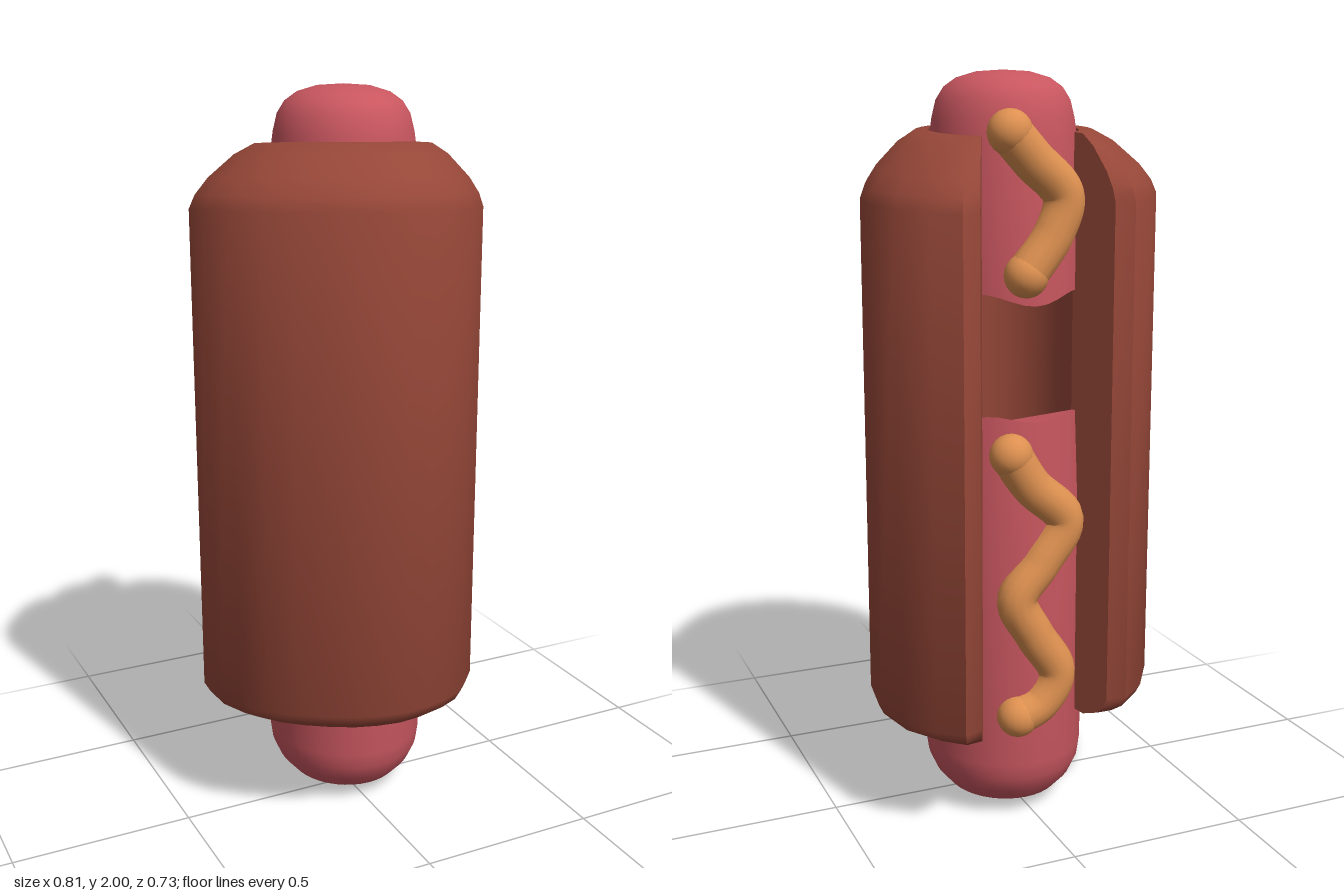
import * as THREE from 'three';
import { toCreasedNormals } from 'three/addons/utils/BufferGeometryUtils.js';

const material = (name, color) => {
  const m = new THREE.MeshStandardMaterial({ color });
  m.name = name;
  return m;
};

const CX = 0.016, CZ = -0.052; // sausage axis

// Bun: a C-shaped shell swept from one lip round the front to the other
function bunGeometry() {
  const outline = [
    [-0.175, -0.325], [-0.225, -0.34], [-0.3, -0.285], [-0.365, -0.19], [-0.41, -0.08], [-0.41, 0.03],
    [-0.38, 0.12], [-0.33, 0.195], [-0.27, 0.25], [-0.2, 0.3], [-0.135, 0.335], [-0.07, 0.355],
    [0, 0.365], [0.07, 0.355], [0.135, 0.335], [0.2, 0.3], [0.25, 0.25], [0.305, 0.185],
    [0.35, 0.105], [0.39, 0], [0.405, -0.12], [0.375, -0.235], [0.315, -0.315], [0.25, -0.365], [0.2, -0.35],
  ];
  // share of the way from the inner wall to the outline, and height
  const profile = [
    [0, 1.855], [0.2, 1.853], [0.45, 1.825], [0.78, 1.765], [0.93, 1.725], [1, 1.69],
    [1, 0.36], [0.93, 0.332], [0.75, 0.308], [0.4, 0.29], [0.15, 0.295], [0, 0.31],
  ];
  const n = outline.length, m = profile.length;
  const positions = [], index = [];
  outline.forEach(([ox, oz], i) => {
    const a = THREE.MathUtils.degToRad(-137 + 277 * i / (n - 1));
    const ix = CX + 0.194 * Math.sin(a), iz = CZ + 0.21 * Math.cos(a);
    for (const [t, y] of profile) {
      const x = ix + (ox - ix) * t, z = iz + (oz - iz) * t;
      positions.push(x, y + 0.07 * z - 0.03 * x, z);
    }
  });
  for (let i = 0; i < n - 1; i++) {
    for (let j = 0; j < m; j++) {
      const k = (j + 1) % m;
      const a = i * m + j, b = a + m, c = i * m + k, d = c + m;
      index.push(a, c, b, b, c, d);
    }
  }
  // flat lips closing both ends of the sweep
  const last = (n - 1) * m;
  for (let j = 1; j < m - 1; j++) {
    index.push(0, j + 1, j, last, last + j, last + j + 1);
  }
  const g = new THREE.BufferGeometry();
  g.setAttribute('position', new THREE.Float32BufferAttribute(positions, 3));
  g.setIndex(index);
  return toCreasedNormals(g, 0.75);
}

// Sausage piece: a lathe whose cut end is sloped and slightly toothed
function sausageGeometry(points, cutY, slope) {
  const g = new THREE.LatheGeometry(points.map(([x, y]) => new THREE.Vector2(x, y)), 40);
  g.scale(1, 1, 1.08);
  const p = g.attributes.position;
  for (let i = 0; i < p.count; i++) {
    if (Math.abs(p.getY(i) - cutY) > 0.001) continue;
    const x = p.getX(i), z = p.getZ(i), r = Math.hypot(x, z);
    p.setY(i, cutY + slope * z + 0.06 * r * Math.cos(5 * Math.atan2(x, z)));
  }
  g.translate(CX, 0, CZ);
  g.deleteAttribute('uv');
  return toCreasedNormals(g, 0.75);
}

export function createModel() {
  const model = new THREE.Group();
  model.name = 'hotDog';
  const brown = material('bunBrown', 0x964738);
  const pink = material('sausagePink', 0xc8565f);
  const orange = material('mustardOrange', 0xdd9050);

  const add = (parent, name, geometry, mat) => {
    const mesh = new THREE.Mesh(geometry, mat);
    mesh.name = name;
    parent.add(mesh);
    return mesh;
  };

  add(model, 'bun', bunGeometry(), brown);

  // Sausage in two pieces with a bite missing between them
  const lower = [
    [0, 0], [0.06, 0.004], [0.11, 0.016], [0.155, 0.04], [0.19, 0.08], [0.21, 0.125], [0.216, 0.17],
    [0.216, 0.9], [0.206, 1.075], [0.15, 1.075], [0.08, 1.075], [0, 1.075],
  ];
  const upper = [
    [0, 1.45], [0.08, 1.45], [0.15, 1.45], [0.202, 1.45], [0.202, 1.6], [0.19, 1.83],
    [0.183, 1.88], [0.172, 1.925], [0.152, 1.957], [0.12, 1.98], [0.07, 1.995], [0, 2],
  ];
  add(model, 'lowerSausage', sausageGeometry(lower, 1.075, -0.25), pink);
  add(model, 'upperSausage', sausageGeometry(upper, 1.45, 0.1), pink);

  // Mustard zigzags with rounded ends
  const R = 0.054;
  const zigzags = {
    upperMustard: [[0.09, 1.845], [0.03, 1.78], [-0.055, 1.69], [-0.03, 1.6], [0.045, 1.495]],
    lowerMustard: [
      [0.085, 1.035], [0.03, 0.95], [-0.065, 0.85], [0, 0.74], [0.068, 0.645],
      [0.02, 0.54], [-0.045, 0.425], [0, 0.345], [0.065, 0.315],
    ],
  };
  for (const [name, pts] of Object.entries(zigzags)) {
    const group = new THREE.Group();
    group.name = name;
    const path = pts.map(([x, y]) => new THREE.Vector3(x, y, -0.273));
    const curve = new THREE.CatmullRomCurve3(path);
    add(group, 'mustardStrand', new THREE.TubeGeometry(curve, 60, R, 14), orange);
    for (const end of [path[0], path[path.length - 1]]) {
      add(group, 'mustardEnd', new THREE.SphereGeometry(R * 1.06, 18, 12), orange).position.copy(end);
    }
    model.add(group);
  }
  return model;
}
